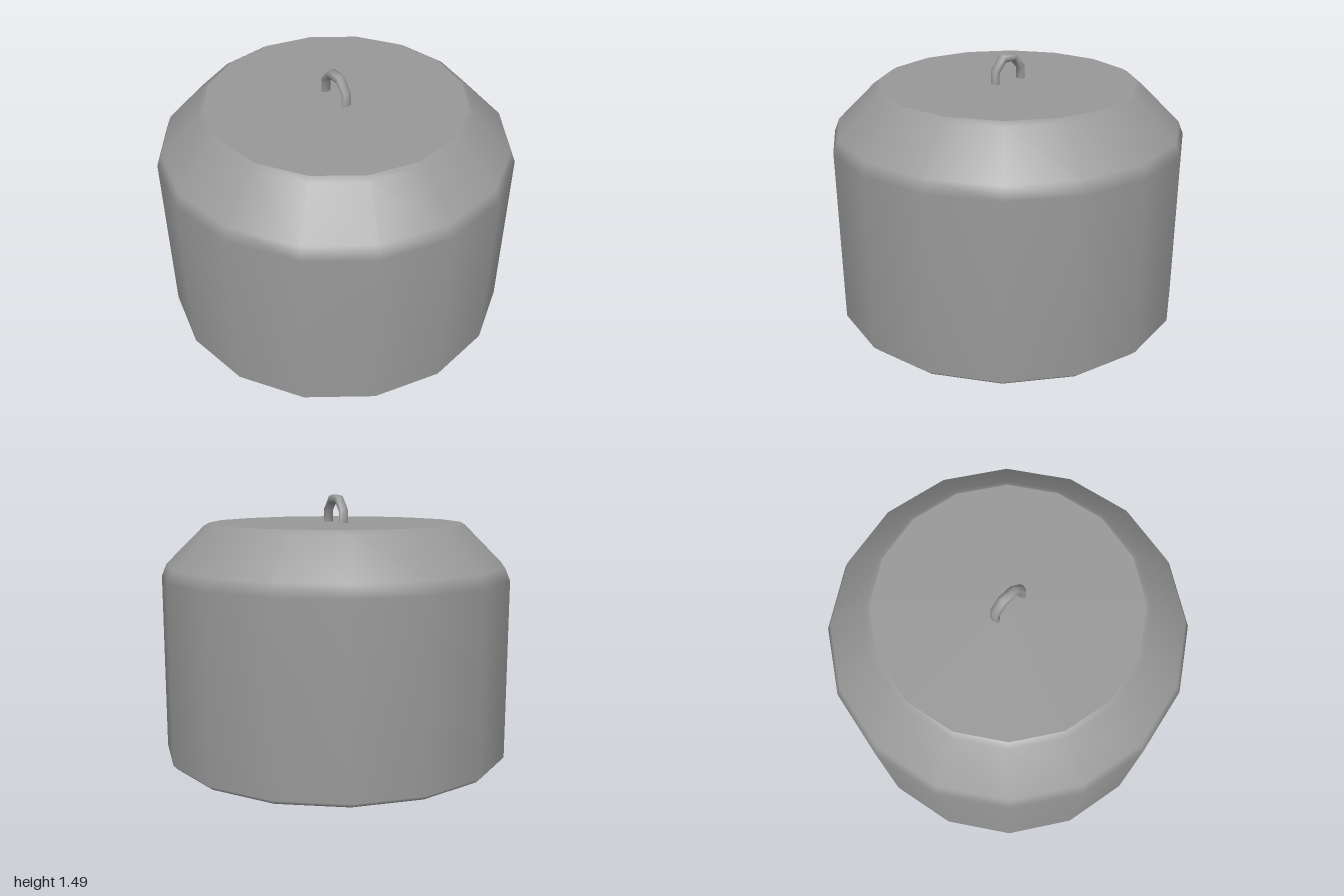
import * as THREE from 'three';

const SIDES = 16;

// Bent rod lofted through mitred oval sections: [z, y, outward dz, outward dy]
function rodGeometry(sections, halfWidth, sides) {
  const positions = [], index = [];
  for (const [z, y, dz, dy] of sections) {
    for (let j = 0; j < sides; j++) {
      const a = (j / sides) * Math.PI * 2;
      positions.push(halfWidth * Math.cos(a), y + dy * Math.sin(a), z + dz * Math.sin(a));
    }
  }
  for (let i = 0; i < sections.length - 1; i++) {
    for (let j = 0; j < sides; j++) {
      const k = (j + 1) % sides;
      const a = i * sides + j, b = i * sides + k, c = a + sides, d = b + sides;
      index.push(a, c, b, b, c, d);
    }
  }
  const geometry = new THREE.BufferGeometry();
  geometry.setAttribute('position', new THREE.Float32BufferAttribute(positions, 3));
  geometry.setIndex(index);
  geometry.computeVertexNormals();
  return geometry;
}

export function createModel() {
  const model = new THREE.Group();
  const metal = new THREE.MeshStandardMaterial({ color: 0x999999 });
  metal.name = 'grey metal';

  const add = (name, geometry) => {
    const mesh = new THREE.Mesh(geometry, metal);
    mesh.name = name;
    model.add(mesh);
    return mesh;
  };

  // Sixteen-sided drum with a small foot bevel and a sloping shoulder
  const profile = [
    [0.975, 0], [1, 0.025], [1, 1.03], [0.972, 1.1], [0.755, 1.315], [0.725, 1.333],
  ].map(([r, y]) => new THREE.Vector2(r, y));
  add('body', new THREE.LatheGeometry(profile, SIDES));

  // Flat caps
  const lid = add('lid', new THREE.CircleGeometry(0.725, SIDES));
  lid.rotation.x = -Math.PI / 2;
  lid.position.y = 1.333;
  const base = add('base', new THREE.CircleGeometry(0.975, SIDES));
  base.rotation.x = Math.PI / 2;

  // Lifting loop, mirrored front to back
  const half = [
    [0.096, 1.31, 0.019, 0],
    [0.096, 1.4, 0.019, 0.01],
    [0.04, 1.464, 0.008, 0.025],
  ];
  const mirrored = half.map(([z, y, dz, dy]) => [-z, y, -dz, dy]).reverse();
  add('handle', rodGeometry([...half, ...mirrored], 0.03, 8));

  return model;
}
